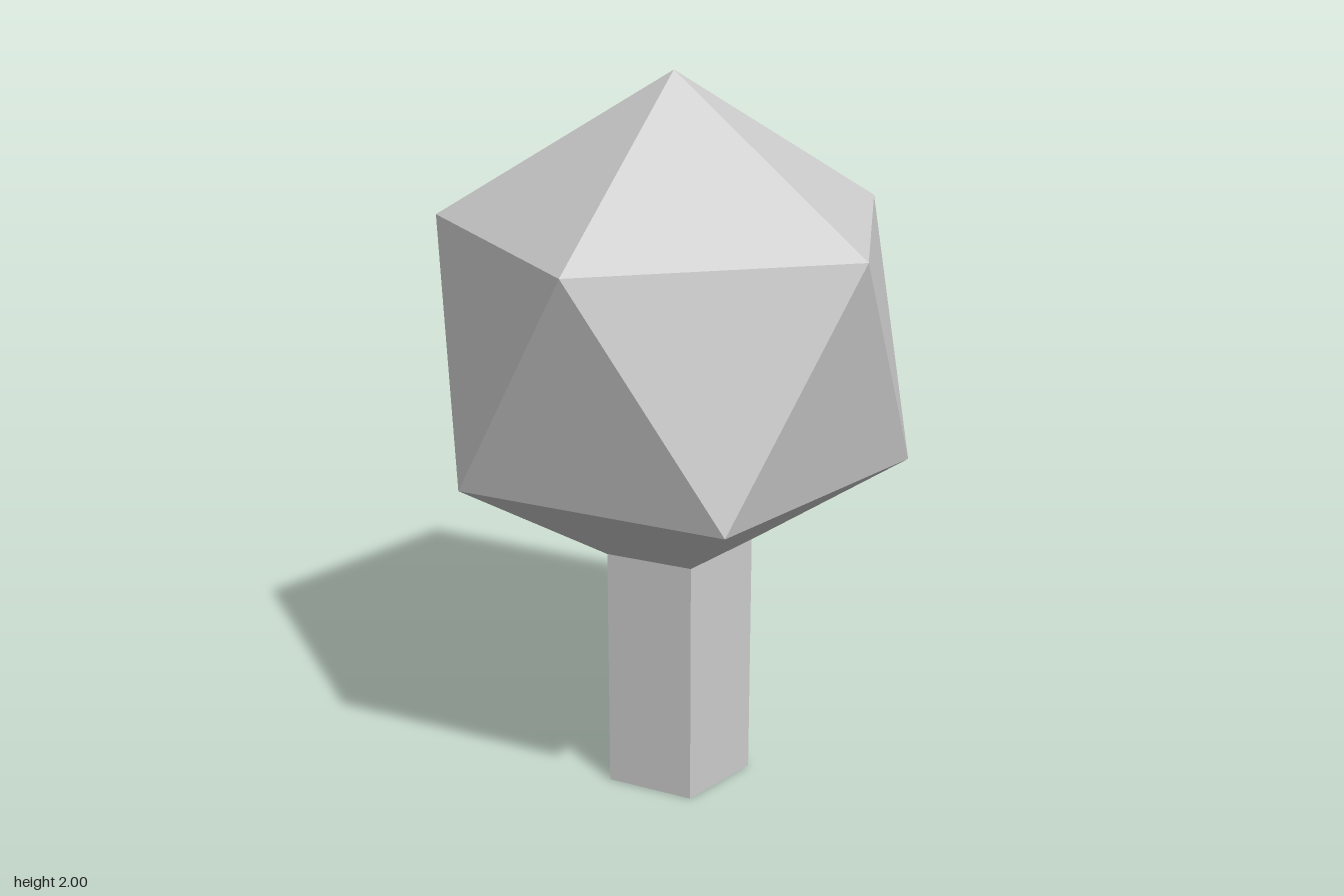
import * as THREE from 'three';

const SIDES = 5;

// Pentagon of points around y, turned by a fraction of one side; tilt raises it along x
function ring(radius, y, turn, cx = 0, tilt = 0) {
  return Array.from({ length: SIDES }, (_, i) => {
    const a = ((i + turn) / SIDES) * Math.PI * 2;
    const x = cx + radius * Math.sin(a);
    return new THREE.Vector3(x, y + tilt * x, radius * Math.cos(a));
  });
}

// Quads between two aligned rings, upper to lower
function wall(tris, upper, lower) {
  for (let i = 0; i < SIDES; i++) {
    const j = (i + 1) % SIDES;
    tris.push(upper[i], lower[i], lower[j], upper[i], lower[j], upper[j]);
  }
}

function facetedMesh(name, tris) {
  const geometry = new THREE.BufferGeometry().setFromPoints(tris);
  geometry.computeVertexNormals();
  const material = new THREE.MeshStandardMaterial({ color: 0xcccccc, flatShading: true });
  const mesh = new THREE.Mesh(geometry, material);
  mesh.name = name;
  return mesh;
}

export function createModel() {
  const group = new THREE.Group();
  group.name = 'lowPolyTree';

  const apex = new THREE.Vector3(0, 2, 0);
  const shoulder = ring(0.635, 1.608, 0);
  const belly = ring(0.635, 0.972, 0.5);
  const neck = ring(0.213, 0.709, 0.5, 0.006, 0.03);
  const foot = ring(0.213, 0, 0.5, 0.006);

  // Crown: icosahedron whose lower cap narrows into the trunk
  const crown = [];
  for (let i = 0; i < SIDES; i++) {
    const j = (i + 1) % SIDES;
    crown.push(apex, shoulder[i], shoulder[j]);
    crown.push(shoulder[i], belly[i], shoulder[j]);
    crown.push(belly[i], belly[j], shoulder[j]);
  }
  wall(crown, belly, neck);
  group.add(facetedMesh('crown', crown));

  // Trunk: five-sided post with a closed base
  const trunk = [];
  wall(trunk, neck, foot);
  for (let i = 1; i < SIDES - 1; i++) trunk.push(foot[0], foot[i + 1], foot[i]);
  group.add(facetedMesh('trunk', trunk));

  return group;
}
